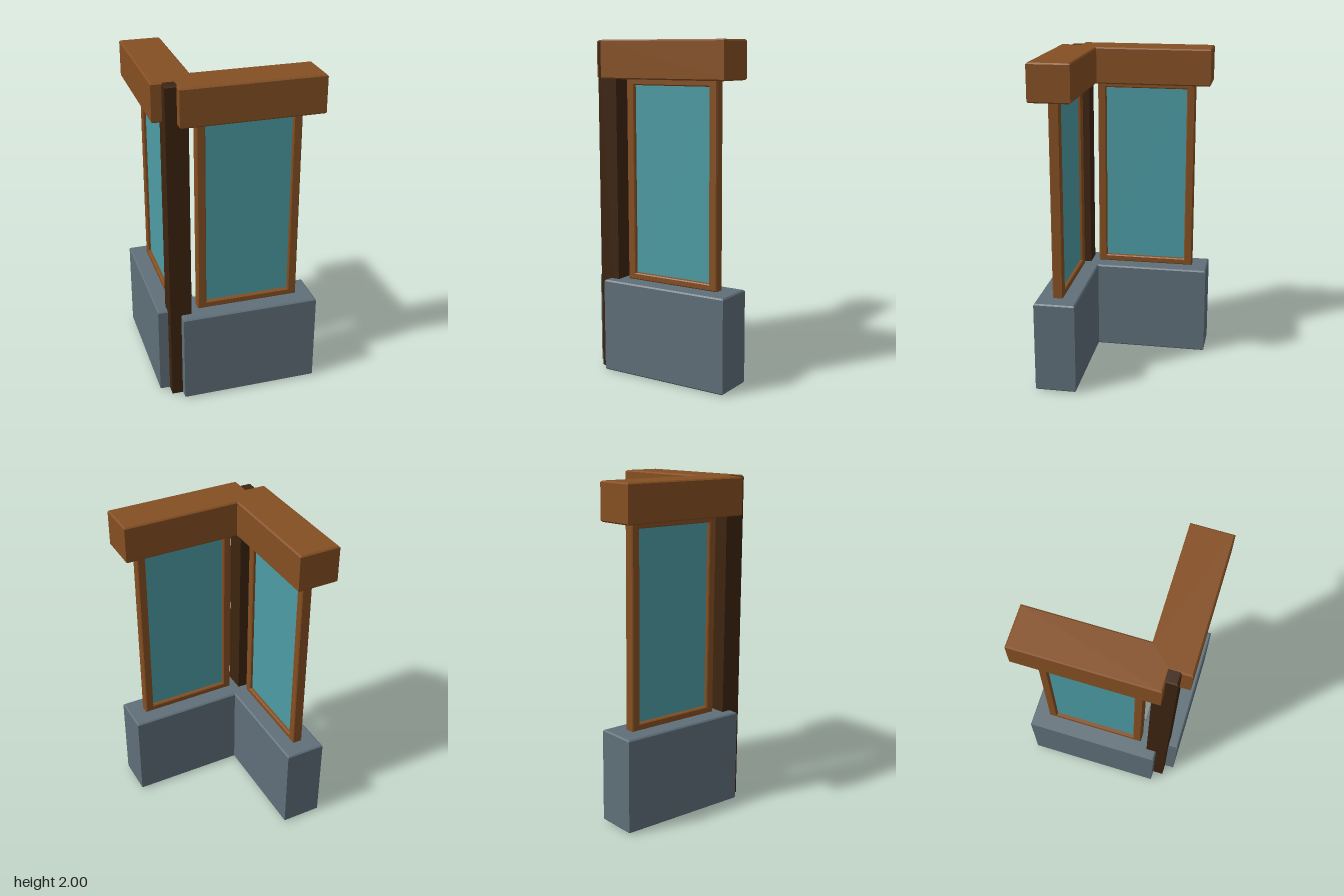
import * as THREE from 'three';

const mat = (name, color) => new THREE.MeshStandardMaterial({ name, color });

// Extrude a shape with chamfered edges that stay inside its outline
function chamfered(shape, depth, b) {
  return new THREE.ExtrudeGeometry(shape, {
    depth: depth - 2 * b, bevelEnabled: true, bevelThickness: b,
    bevelSize: b, bevelOffset: -b, bevelSegments: 1,
  }).translate(0, 0, b);
}

const outline = (points, Type = THREE.Shape) =>
  new Type(points.map(([x, y]) => new THREE.Vector2(x, y)));

const rect = (w, h, Type) =>
  outline([[-w / 2, -h / 2], [w / 2, -h / 2], [w / 2, h / 2], [-w / 2, h / 2]], Type);

export function createModel() {
  const wood = mat('wood', 0x854f22);
  const darkWood = mat('dark wood', 0x3d240f);
  const stone = mat('grey stone', 0x5f6f79);
  const glass = mat('teal glass', 0x4d9ca5);

  const model = new THREE.Group();
  model.name = 'cornerWindowWall';
  const add = (parent, name, geometry, material, x = 0, y = 0, z = 0) => {
    const mesh = new THREE.Mesh(geometry, material);
    mesh.name = name;
    mesh.position.set(x, y, z);
    parent.add(mesh);
    return mesh;
  };

  // L-shaped plan with the outer corner notched for the post
  const plan = outline([
    [-0.48, -0.354], [-0.354, -0.354], [-0.354, -0.48], [0.48, -0.48],
    [0.48, -0.23], [-0.23, -0.23], [-0.23, 0.48], [-0.48, 0.48],
  ]);
  const slab = (height) => chamfered(plan, height, 0.008).rotateX(-Math.PI / 2);
  add(model, 'stoneBase', slab(0.565), stone, 0, 0.005, 0);
  add(model, 'topBeam', slab(0.225), wood, 0, 1.775, 0);

  // Corner post
  const post = chamfered(rect(0.13, 0.13), 1.998, 0.008).rotateX(-Math.PI / 2);
  add(model, 'cornerPost', post, darkWood, -0.355, 0, 0.355);

  // One window per wing
  const frameShape = rect(0.62, 1.205);
  frameShape.holes.push(rect(0.515, 1.125, THREE.Path));
  const frame = chamfered(frameShape, 0.065, 0.006).translate(0, 0, -0.0325);
  const pane = new THREE.BoxGeometry(0.52, 1.13, 0.025);
  const addWindow = (name, x, z, turn) => {
    const win = new THREE.Group();
    win.name = name;
    win.position.set(x, 1.177, z);
    win.rotation.y = turn;
    add(win, 'windowFrame', frame, wood);
    add(win, 'windowPane', pane, glass, 0, 0.005, 0);
    model.add(win);
  };
  addWindow('frontWindow', 0.07, 0.353, 0);
  addWindow('sideWindow', -0.353, -0.07, -Math.PI / 2);

  return model;
}
